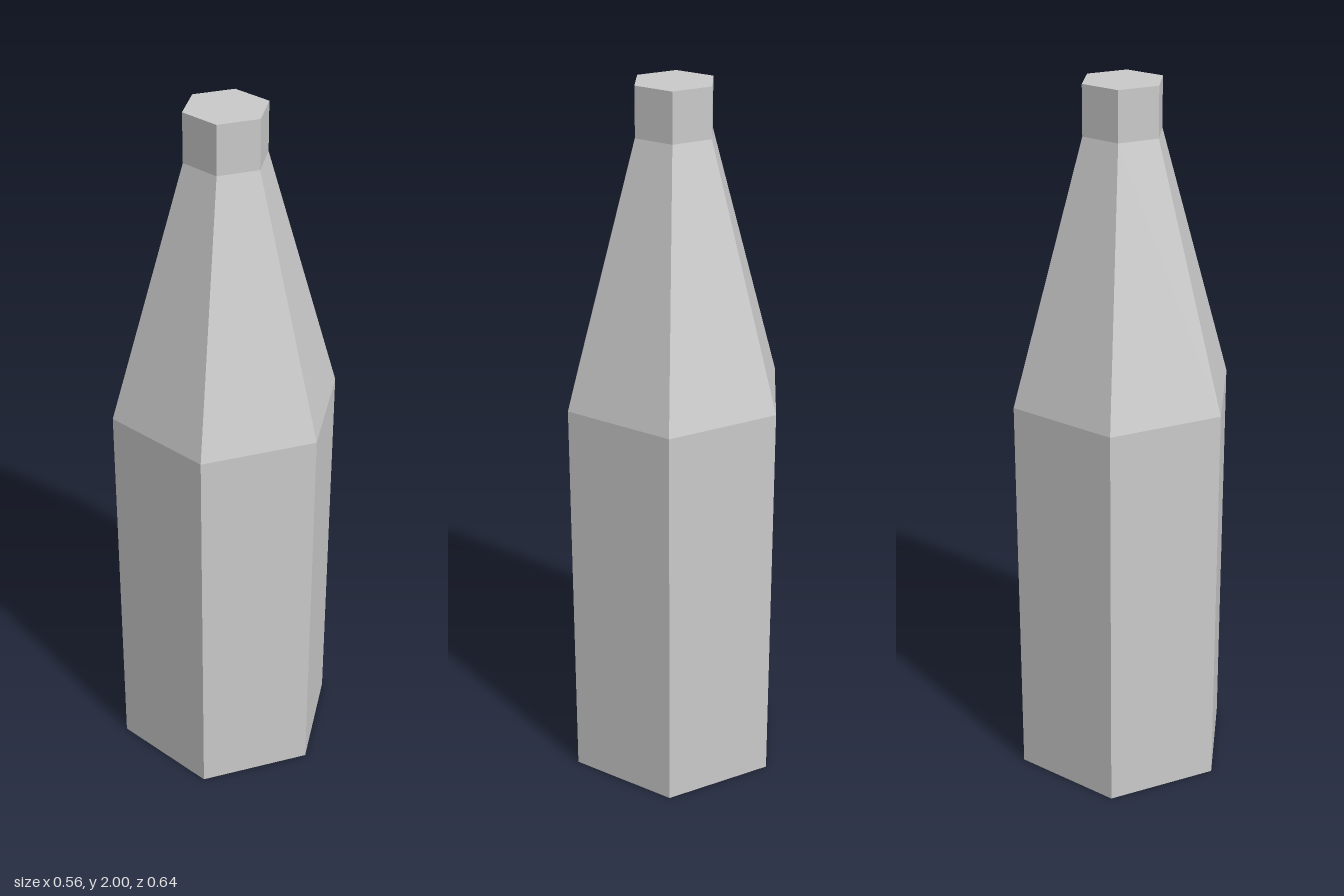
import * as THREE from 'three';

const SIDES = 6;
const BODY_RADIUS = 0.321;
const NECK_RADIUS = 0.113;

// Hexagonal bottle: each section is a lathe of [radius, height] points, bottom to top
export function createModel() {
  const bottle = new THREE.Group();
  bottle.name = 'bottle';
  const material = new THREE.MeshStandardMaterial({ color: 0xcccccc, flatShading: true });

  const addSection = (name, profile) => {
    const points = profile.map(([r, y]) => new THREE.Vector2(r, y));
    const mesh = new THREE.Mesh(new THREE.LatheGeometry(points, SIDES), material);
    mesh.name = name;
    bottle.add(mesh);
  };

  // Straight body with closed base
  addSection('body', [[0, 0], [BODY_RADIUS, 0], [BODY_RADIUS, 1.145]]);
  // Tapering shoulder
  addSection('shoulder', [[BODY_RADIUS, 1.145], [NECK_RADIUS, 1.865]]);
  // Short straight neck with closed top
  addSection('neck', [[NECK_RADIUS, 1.865], [NECK_RADIUS, 2], [0, 2]]);

  return bottle;
}
